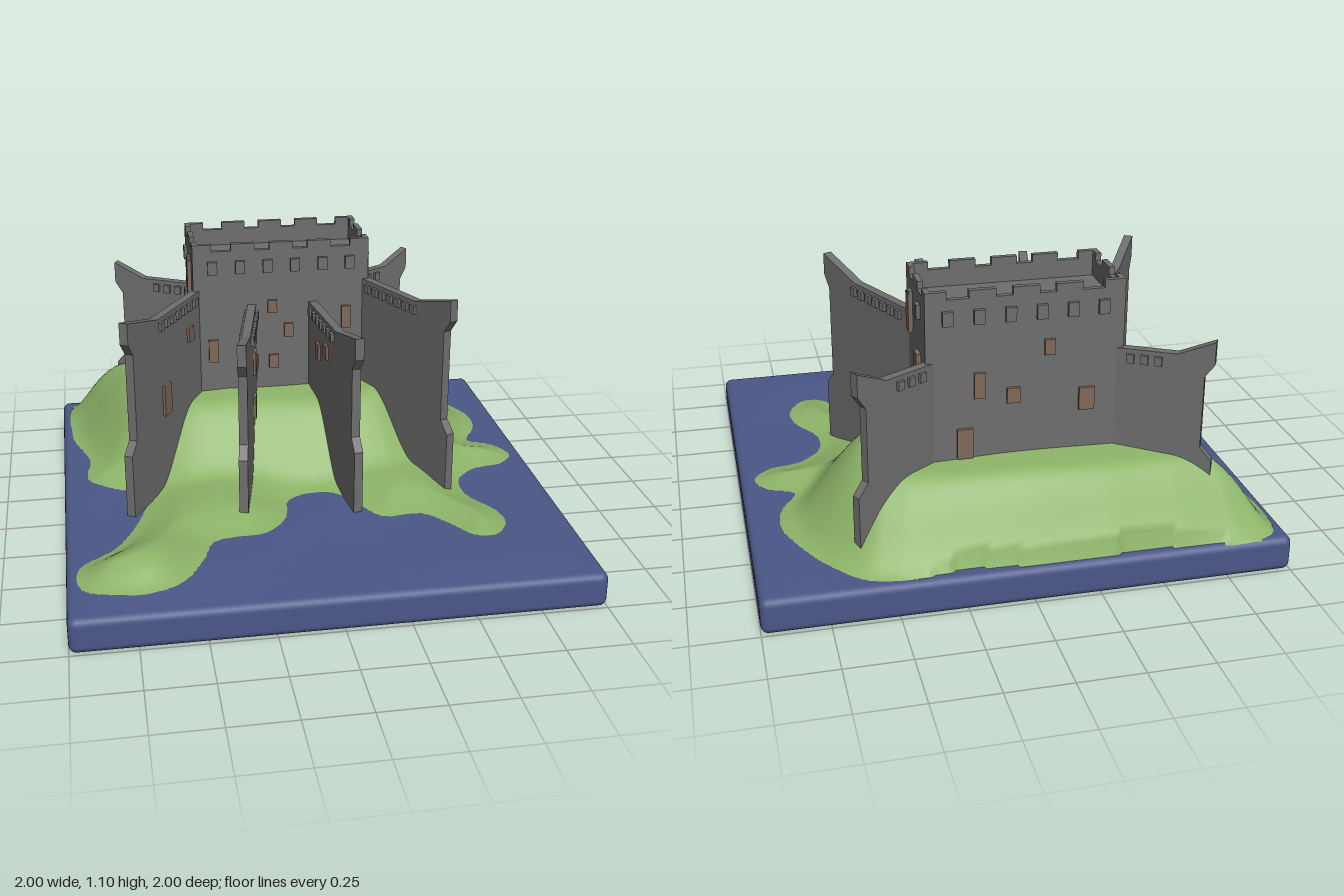
import * as THREE from 'three';
import { RoundedBoxGeometry } from 'three/addons/geometries/RoundedBoxGeometry.js';

const mat = (color, side = THREE.FrontSide) => new THREE.MeshStandardMaterial({ color, side });
const stone = mat(0x6e6e6e), wood = mat(0x806858);
const water = mat(0x4b5788, THREE.DoubleSide), grass = mat(0x8cb368, THREE.DoubleSide);

function add(parent, name, geometry, material, x = 0, y = 0, z = 0) {
  const m = new THREE.Mesh(geometry, material);
  m.name = name;
  m.position.set(x, y, z);
  parent.add(m);
  return m;
}
const box = (parent, name, material, w, h, d, x, y, z) =>
  add(parent, name, new THREE.BoxGeometry(w, h, d), material, x, y, z);

// Shoreline and the foot of the hill, as (x, z) pairs
const shore = loop([-.92, -.97, -.6, -.96, -.2, -.96, .05, -.96, .25, -.94, .45, -.97, .6, -.95, .72, -.82,
  .8, -.7, .88, -.5, .86, -.36, .8, -.24, .9, -.18, .95, -.07, .88, .01, .75, .04, .66, .13, .65, .27,
  .73, .42, .74, .54, .66, .645, .58, .63, .51, .52, .42, .42, .26, .42, .18, .3, .1, .19, 0, .17,
  -.09, .22, -.12, .36, -.22, .48, -.42, .52, -.48, .66, -.58, .82, -.72, .87, -.92, .82, -.97, .72,
  -.95, .62, -.82, .52, -.75, .4, -.68, .2, -.66, .07, -.8, 0, -.9, -.1, -.89, -.3, -.96, -.55, -.97, -.8], 180);
const hillFoot = loop([-.95, -.96, .6, -.95, .8, -.7, .82, -.4, .72, -.15, .5, .05, .2, .13, -.25, .1,
  -.5, .08, -.7, -.02, -.85, -.2, -.95, -.6], 80);

function loop(a, n) {
  const pts = [];
  for (let i = 0; i < a.length; i += 2) pts.push(new THREE.Vector3(a[i], 0, a[i + 1]));
  return new THREE.CatmullRomCurve3(pts, true).getPoints(n).slice(0, n);
}

// Distance to a loop, positive inside
function inside(poly, x, z) {
  let best = 9, sign = -1;
  for (let i = 0, j = poly.length - 1; i < poly.length; j = i++) {
    const a = poly[j], b = poly[i], ex = b.x - a.x, ez = b.z - a.z;
    const t = THREE.MathUtils.clamp(((x - a.x) * ex + (z - a.z) * ez) / (ex * ex + ez * ez), 0, 1);
    best = Math.min(best, Math.hypot(x - a.x - t * ex, z - a.z - t * ez));
    if ((a.z > z) !== (b.z > z) && x < a.x + (z - a.z) / ez * ex) sign = -sign;
  }
  return sign * best;
}

function waveHeight(x, z) {
  const rim = Math.min(1, (1 - Math.max(Math.abs(x), Math.abs(z))) / .15);
  return .137 + rim * (.008 + .008 * Math.sin(5 * x + 2 * z) * Math.cos(4 * z - x));
}

function landHeight(x, z) {
  const d = inside(shore, x, z), s = THREE.MathUtils.smoothstep;
  if (d < 0) return waveHeight(x, z) + d * .5;
  const bump = .03 * Math.exp(-((x + .7) ** 2 + (z - .7) ** 2) / .03);
  return waveHeight(x, z) + d * .1 + .03 * s(d, 0, .18) + bump * s(d, 0, .1)
    + .23 * s(inside(hillFoot, x, z), 0, .3);
}

// Height field over a square; faces lower than keep() allows are dropped
function field(size, n, height, keep) {
  const g = new THREE.PlaneGeometry(size, size, n, n).rotateX(-Math.PI / 2);
  const p = g.attributes.position;
  for (let i = 0; i < p.count; i++) p.setY(i, height(p.getX(i), p.getZ(i)));
  g.computeVertexNormals();
  if (keep) {
    const idx = g.index.array, out = [];
    for (let i = 0; i < idx.length; i += 3) {
      const f = [idx[i], idx[i + 1], idx[i + 2]];
      if (f.some(v => keep(p.getX(v), p.getY(v), p.getZ(v)))) out.push(...f);
    }
    g.setIndex(out);
  }
  return g;
}

// Radiating wall: from, to, inner top height, end top height, corbel count, windows [t, y, w, h]
function wall(parent, name, [x0, z0], [x1, z1], top, end, corbels, windows) {
  const g = new THREE.Group(), L = Math.hypot(x1 - x0, z1 - z0), T = .036;
  g.name = name;
  g.position.set(x0, 0, z0);
  g.rotation.y = Math.atan2(z0 - z1, x1 - x0);
  parent.add(g);
  const outline = [[-.02, .13], [L, .13], [L, .41], [L - .045, .46], [L - .045, end - .14],
    [L - .01, end - .09], [L - .01, end], [L * .6, top], [-.02, top]];
  const shape = new THREE.Shape(outline.map(p => new THREE.Vector2(...p)));
  add(g, 'wallSlab', new THREE.ExtrudeGeometry(shape, { depth: T, bevelEnabled: false }), stone, 0, 0, -T / 2);
  for (let i = 0; i < corbels; i++)
    box(g, 'corbel', stone, .028, .035, T + .026, .05 + i * .052, top - .035, 0);
  for (const [t, y, w, h] of windows) box(g, 'wallWindow', wood, w, h, T + .022, t * L, y, 0);
}

export function createModel() {
  const root = new THREE.Group();
  root.name = 'islandCastle';

  // Sea and land
  add(root, 'seaBase', new RoundedBoxGeometry(2, .14, 2, 3, .03), water, 0, .07, 0);
  add(root, 'seaSurface', field(1.96, 60, waveHeight), water);
  add(root, 'land', field(1.98, 130, landHeight, (x, y, z) => y > waveHeight(x, z) - .004), grass);

  // Keep with hollow crenellated top
  const keep = new THREE.Group();
  keep.name = 'keep';
  root.add(keep);
  const W = .75, D = .36, cx = -.04, cz = -.468, t = .022;
  keep.position.set(cx, 0, cz);
  box(keep, 'keepBody', stone, W, .85, D, 0, .575, 0);
  for (const s of [-1, 1]) {
    const pz = s * (D - t) / 2, px = s * (W - t) / 2;
    box(keep, 'longParapet', stone, W, .07, t, 0, 1.035, pz);
    box(keep, 'shortParapet', stone, t, .07, D, px, 1.035, 0);
    for (let i = 0; i < 5; i++) {
      const w = i % 4 ? .1 : .08;
      box(keep, 'merlon', stone, w, .03, t, (i - 2) * .1625 + (i === 0 ? -.01 : i === 4 ? .01 : 0), 1.085, pz);
    }
    for (const z of [-.15, 0, .15]) box(keep, 'merlon', stone, t, .03, z ? .06 : .09, px, 1.085, z);
    for (let i = 0; i < 6; i++)
      box(keep, 'keepCorbel', stone, .04, .055, .03, (i - 2.5) * .117, 1, s * D / 2);
    for (const z of [-.075, .075]) box(keep, 'keepCorbel', stone, .03, .055, .04, s * W / 2, 1, z);
    // Side windows
    for (const [z, y, h] of [[-.385, .94, .15], [-.535, .76, .15], [-.385, .585, .055]])
      box(keep, 'sideWindow', wood, .034, h, .055, s * W / 2, y, z - cz);
  }
  const frontWindows = [[-.335, .63, .04, .1], [-.08, .82, .04, .055], [-.01, .71, .04, .06],
    [-.075, .57, .04, .06], [.24, .755, .04, .1], [.195, .59, .035, .07]];
  const backWindows = [[.19, .5, .06, .12], [.135, .73, .04, .1], [.007, .68, .05, .06],
    [-.13, .86, .04, .06], [-.275, .64, .06, .09]];
  for (const [x, y, w, h] of frontWindows) box(keep, 'frontWindow', wood, w, h, .026, x - cx, y, D / 2);
  for (const [x, y, w, h] of backWindows) box(keep, 'backWindow', wood, w, h, .026, x - cx, y, -D / 2);

  // Radiating walls
  wall(root, 'frontOuterWallRight', [-.405, -.3], [-.735, .25], .9, .965, 7,
    [[.52, .54, .06, .13], [.16, .745, .045, .06]]);
  wall(root, 'frontInnerWallRight', [-.165, -.3], [-.293, .365], .83, .89, 7,
    [[.33, .65, .055, .1], [.15, .6, .05, .06], [.36, .46, .055, .1]]);
  wall(root, 'frontInnerWallLeft', [.095, -.3], [.17, .365], .83, .89, 7,
    [[.25, .66, .05, .07], [.42, .7, .05, .06]]);
  wall(root, 'frontOuterWallLeft', [.325, -.3], [.575, .25], .92, .985, 7, []);
  wall(root, 'backWallRight', [-.4, -.635], [-.725, -.815], .83, .89, 3, []);
  wall(root, 'backWallLeft', [.32, -.635], [.625, -.815], .83, .89, 3, []);
  return root;
}
